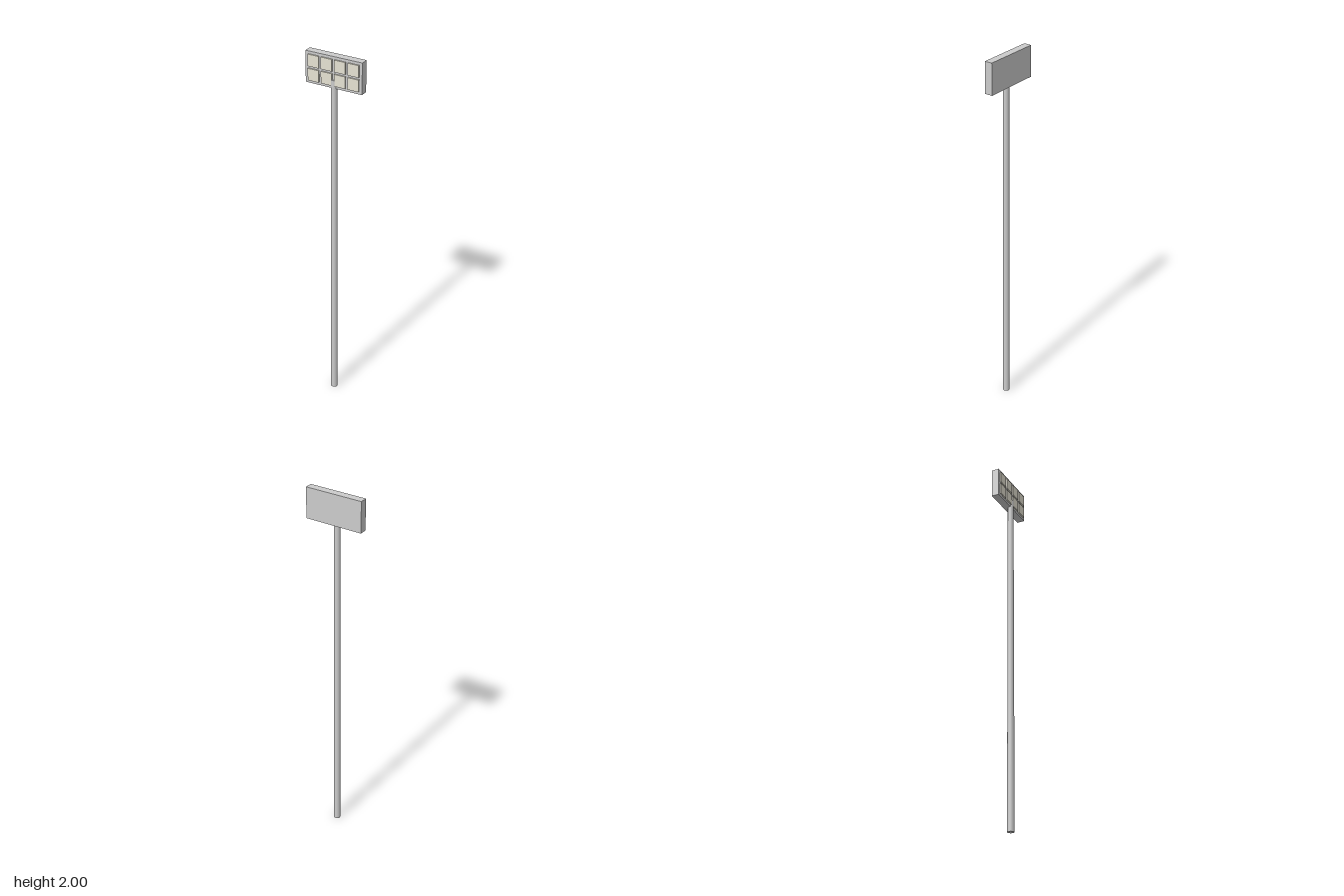
import * as THREE from 'three';

export function createModel() {
  const model = new THREE.Group();
  const grey = new THREE.MeshStandardMaterial({ color: 0xcccccc });
  const cream = new THREE.MeshStandardMaterial({ color: 0xe6e2d3 });

  const add = (name, geometry, material, x, y, z, parent = model) => {
    const mesh = new THREE.Mesh(geometry, material);
    mesh.name = name;
    mesh.position.set(x, y, z);
    parent.add(mesh);
    return mesh;
  };

  // Slightly tapered mast, its tip overlapping the lower lamps
  const mastHeight = 1.88;
  add('mast', new THREE.CylinderGeometry(0.016, 0.0185, mastHeight, 16), grey, 0, mastHeight / 2, 0.008);

  // Flat housing at the top of the mast
  const panelY = 1.918;
  add('lampHousing', new THREE.BoxGeometry(0.313, 0.164, 0.041), grey, 0, panelY, -0.0065);

  // Two rows of four square lamps on the front
  const lamps = new THREE.Group();
  lamps.name = 'lamps';
  model.add(lamps);
  const lampGeometry = new THREE.BoxGeometry(0.061, 0.062, 0.01);
  const pitch = 0.0735;
  for (let row = 0; row < 2; row++) {
    for (let col = 0; col < 4; col++) {
      add('lamp', lampGeometry, cream, (col - 1.5) * pitch, panelY + (row - 0.5) * pitch, 0.016, lamps);
    }
  }

  return model;
}
